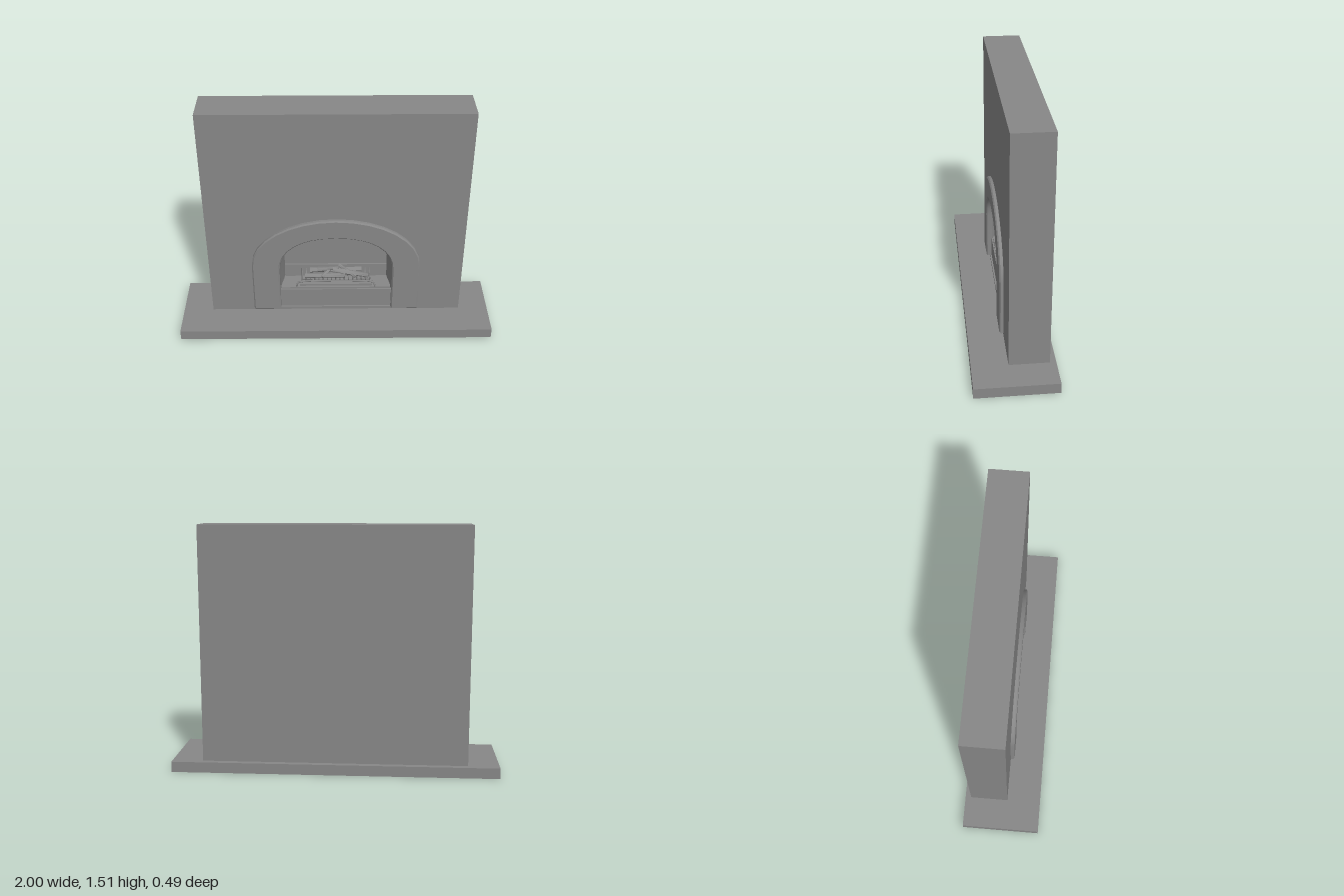
import * as THREE from 'three';
import { toCreasedNormals } from 'three/addons/utils/BufferGeometryUtils.js';

const stone = new THREE.MeshStandardMaterial({ color: 0x878787 });
const stoneDouble = new THREE.MeshStandardMaterial({ color: 0x878787, side: THREE.DoubleSide });
const FOOT = 0.085; // bottom of the surround and opening

function add(parent, name, geometry, material = stone) {
  const mesh = new THREE.Mesh(geometry, material);
  mesh.name = name;
  parent.add(mesh);
  return mesh;
}

// Box given by its lower and upper corners
function box(parent, name, [x0, y0, z0], [x1, y1, z1]) {
  const mesh = add(parent, name, new THREE.BoxGeometry(x1 - x0, y1 - y0, z1 - z0));
  mesh.position.set((x0 + x1) / 2, (y0 + y1) / 2, (z0 + z1) / 2);
}

// Arch outline from right foot over the top to left foot
function archPoints(a, spring, b, power = 1, n = 16) {
  const points = [new THREE.Vector2(a, FOOT)];
  for (let i = 0; i <= n; i++) {
    const t = (Math.PI * i) / n;
    const c = Math.cos(t), s = Math.max(0, Math.sin(t));
    points.push(new THREE.Vector2(
      a * Math.sign(c) * Math.abs(c) ** power, spring + b * s ** power));
  }
  points.push(new THREE.Vector2(-a, FOOT));
  return points;
}

const openingArch = (a, b = a - 0.11) => archPoints(a, 0.4, b, 0.88);

// Round bar through a few points
function bar(parent, name, points, radius) {
  const curve = new THREE.CatmullRomCurve3(
    points.map((p) => new THREE.Vector3(...p)), false, 'centripetal');
  add(parent, name, new THREE.TubeGeometry(curve, 16, radius, 6));
}

// Tapered, slightly knotty log between two points
function log(parent, from, to, r0, r1) {
  const a = new THREE.Vector3(...from), b = new THREE.Vector3(...to);
  const dir = b.clone().sub(a);
  const geometry = new THREE.CylinderGeometry(r1, r0, dir.length(), 8, 3);
  const p = geometry.attributes.position;
  for (let i = 0; i < p.count; i++) {
    const k = 1 + 0.14 * Math.sin(p.getY(i) * 60 + 3 * Math.atan2(p.getZ(i), p.getX(i)));
    p.setXYZ(i, p.getX(i) * k, p.getY(i), p.getZ(i) * k);
  }
  const mesh = add(parent, 'log', toCreasedNormals(geometry, 0.5));
  mesh.position.copy(a).add(b).multiplyScalar(0.5);
  mesh.quaternion.setFromUnitVectors(new THREE.Vector3(0, 1, 0), dir.normalize());
}

function buildChimneyBreast(group) {
  // Front layer with the arched opening, solid layer behind
  const shape = new THREE.Shape([
    new THREE.Vector2(-0.81, 0.065), new THREE.Vector2(0.81, 0.065),
    new THREE.Vector2(0.81, 1.507), new THREE.Vector2(-0.81, 1.507)]);
  shape.holes.push(new THREE.Path(openingArch(0.364)));
  const front = new THREE.ExtrudeGeometry(shape, { depth: 0.16, bevelEnabled: false });
  add(group, 'chimneyBreastFront', front).position.z = -0.13;
  box(group, 'chimneyBreastBack', [-0.81, 0.065, -0.21], [0.81, 1.507, -0.13]);
}

function buildSurround(group) {
  // Horseshoe frame with a flat face and chamfered edges
  const outer = archPoints(0.535, 0.44, 0.345);
  const inner = openingArch(0.36).reverse();
  const geometry = new THREE.ExtrudeGeometry(new THREE.Shape([...outer, ...inner]), {
    depth: 0.029, bevelThickness: 0.008, bevelSize: 0.008, bevelOffset: -0.008, bevelSegments: 1,
  });
  add(group, 'archSurround', toCreasedNormals(geometry, 0.5)).position.z = 0.018;
}

function buildFirebox(group) {
  // Cheeks and soffit, with the top leaning down to the back wall: z, half width, rise
  const rows = [[0.03, 0.362, 0.252], [-0.04, 0.35, 0.24], [-0.075, 0.342, 0.205], [-0.12, 0.335, 0.14]];
  const outlines = rows.map(([, a, b]) => openingArch(a, b));
  const count = outlines[0].length;
  const positions = [], index = [];
  outlines.forEach((outline, j) => {
    for (const p of outline) positions.push(p.x, p.y, rows[j][0]);
  });
  for (let j = 0; j < rows.length - 1; j++) {
    for (let i = 0; i < count - 1; i++) {
      const a = j * count + i, b = a + count;
      index.push(a, a + 1, b, a + 1, b + 1, b);
    }
  }
  const hood = new THREE.BufferGeometry();
  hood.setAttribute('position', new THREE.Float32BufferAttribute(positions, 3));
  hood.setIndex(index);
  add(group, 'fireboxHood', toCreasedNormals(hood, 0.45), stoneDouble);
  add(group, 'fireboxBack', new THREE.ShapeGeometry(new THREE.Shape(outlines.at(-1))))
    .position.z = -0.12;

  // Lower panel, flat hearth floor and low step against the back wall
  box(group, 'lowerPanel', [-0.361, FOOT, -0.12], [0.361, 0.222, 0.02]);
  box(group, 'fireboxFloor', [-0.355, 0.222, -0.12], [0.355, 0.234, 0.012]);
  box(group, 'backStep', [-0.335, 0.234, -0.12], [0.335, 0.328, -0.108]);
}

function buildGrate(group) {
  const grate = new THREE.Group();
  grate.name = 'grate';
  group.add(grate);
  // Front rail bent down into two feet
  bar(grate, 'frontRail', [[-0.256, 0.234, 0.004], [-0.252, 0.262, 0.002], [-0.235, 0.271, 0.001],
    [0.235, 0.271, 0.001], [0.252, 0.262, 0.002], [0.256, 0.234, 0.004]], 0.006);
  box(grate, 'frontApron', [-0.235, 0.236, -0.01], [0.235, 0.25, 0]);
  bar(grate, 'upperRail', [[-0.22, 0.287, -0.005], [0, 0.287, -0.005], [0.22, 0.287, -0.005]], 0.004);
  // Tines curving up at front and back
  const tines = 17;
  for (let i = 0; i < tines; i++) {
    const x = -0.22 + (0.44 * i) / (tines - 1);
    bar(grate, 'tine', [[x, 0.31, -0.096], [x, 0.288, -0.085], [x, 0.28, -0.02],
      [x, 0.287, 0], [x, 0.309, 0.005]], 0.004);
  }
  // Logs: ends, then radii
  const logs = [
    [[-0.2, 0.302, -0.025], [0.06, 0.308, -0.02], 0.015, 0.018],
    [[0.21, 0.302, -0.022], [-0.02, 0.335, -0.04], 0.014, 0.02],
    [[-0.17, 0.308, -0.075], [0.17, 0.312, -0.08], 0.018, 0.016],
    [[-0.12, 0.32, -0.06], [0.02, 0.35, -0.045], 0.013, 0.011],
    [[0.02, 0.35, -0.075], [0.13, 0.305, -0.008], 0.012, 0.014],
    [[-0.09, 0.305, -0.005], [-0.03, 0.335, -0.065], 0.012, 0.01],
  ];
  for (const l of logs) log(grate, ...l);
}

export function createModel() {
  const group = new THREE.Group();
  group.name = 'fireplace';
  box(group, 'hearth', [-1, 0, -0.247], [1, 0.065, 0.247]);
  buildChimneyBreast(group);
  buildSurround(group);
  buildFirebox(group);
  buildGrate(group);
  return group;
}
